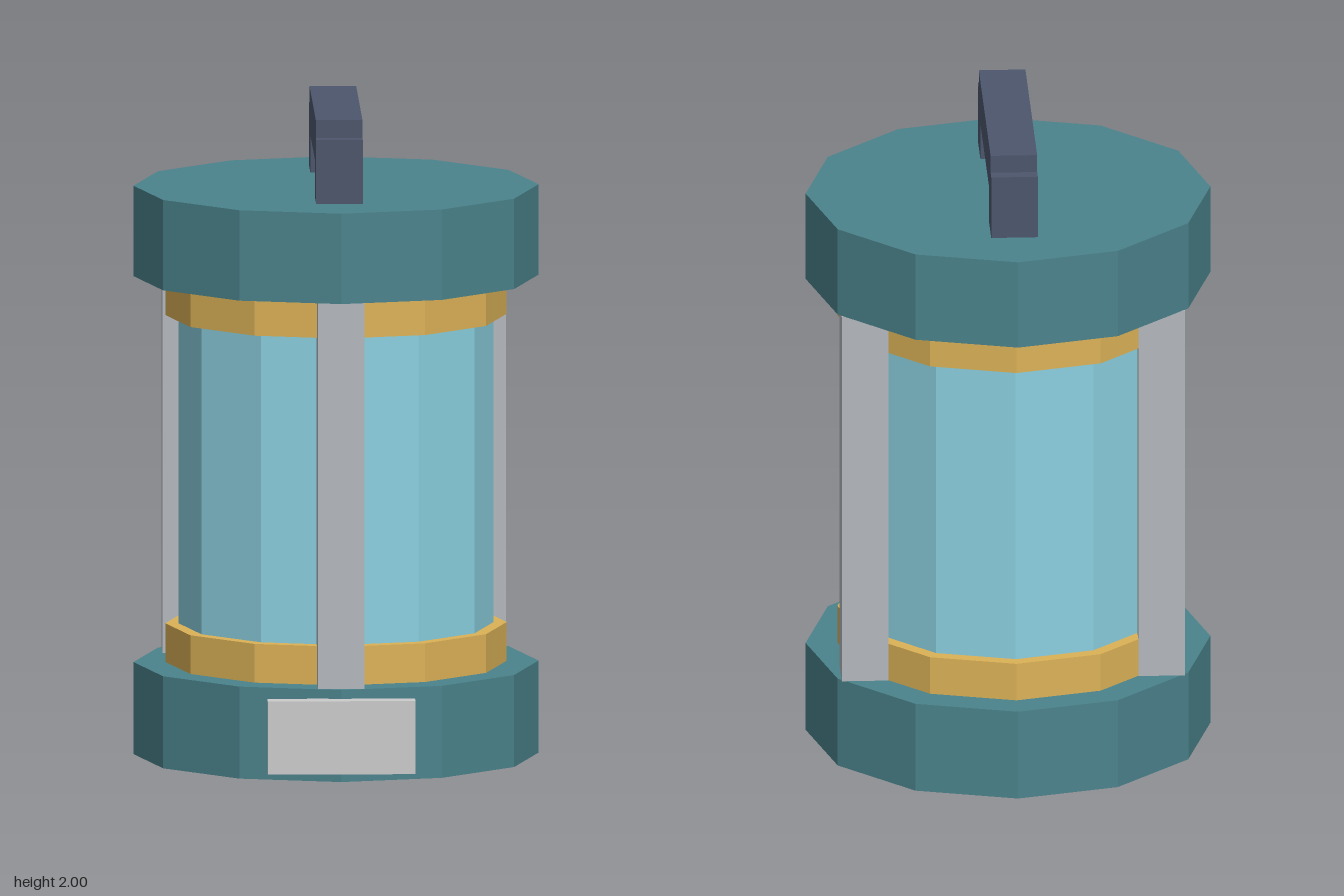
import * as THREE from 'three';

const AXIS_Z = -0.022; // the body axis sits slightly behind the origin
const SIDES = 12;

const paint = (color) => new THREE.MeshStandardMaterial({ color, flatShading: true });

export function createModel() {
  const model = new THREE.Group();
  model.name = 'canister';

  const teal = paint(0x4b838c);
  const gold = paint(0xdcb257);
  const glass = paint(0x8bd0e0);
  const slate = paint(0x4c566c);
  const steel = paint(0xb4b9be);
  const pale = paint(0xcccccc);

  const add = (name, geometry, material) => {
    const mesh = new THREE.Mesh(geometry, material);
    mesh.name = name;
    model.add(mesh);
    return mesh;
  };

  // Twelve-sided drum between two heights
  const drum = (name, radius, y0, y1, material) =>
    add(name, new THREE.CylinderGeometry(radius, radius, y1 - y0, SIDES), material)
      .position.set(0, (y0 + y1) / 2, AXIS_Z);

  // Box from its width, centred on x, and its y and z extents
  const block = (name, width, y0, y1, z0, z1, material, x = 0) =>
    add(name, new THREE.BoxGeometry(width, y1 - y0, z1 - z0), material)
      .position.set(x, (y0 + y1) / 2, (z0 + z1) / 2);

  // Body
  drum('base', 0.617, 0, 0.283, teal);
  drum('lid', 0.617, 1.47, 1.748, teal);
  drum('glassTube', 0.48, 0.283, 1.47, glass);
  drum('lowerRing', 0.52, 0.283, 0.402, gold);
  drum('upperRing', 0.52, 1.35, 1.47, gold);

  // Three square posts around the tube, all aligned with the axes
  for (let i = 0; i < 3; i++) {
    const angle = (i * Math.PI * 2) / 3;
    const z = AXIS_Z + 0.522 * Math.cos(angle);
    block('post', 0.142, 0.283, 1.47, z - 0.071, z + 0.071, steel, 0.522 * Math.sin(angle));
  }

  // Carrying handle
  block('handleFrontLeg', 0.142, 1.748, 1.945, 0.247, 0.385, slate);
  block('handleBackLeg', 0.142, 1.748, 1.945, -0.428, -0.286, slate);
  block('handleGrip', 0.142, 1.863, 2, -0.387, 0.343, slate);

  // Front label plate
  block('labelPlate', 0.45, 0.03, 0.255, 0.583, 0.64, pale);

  return model;
}
